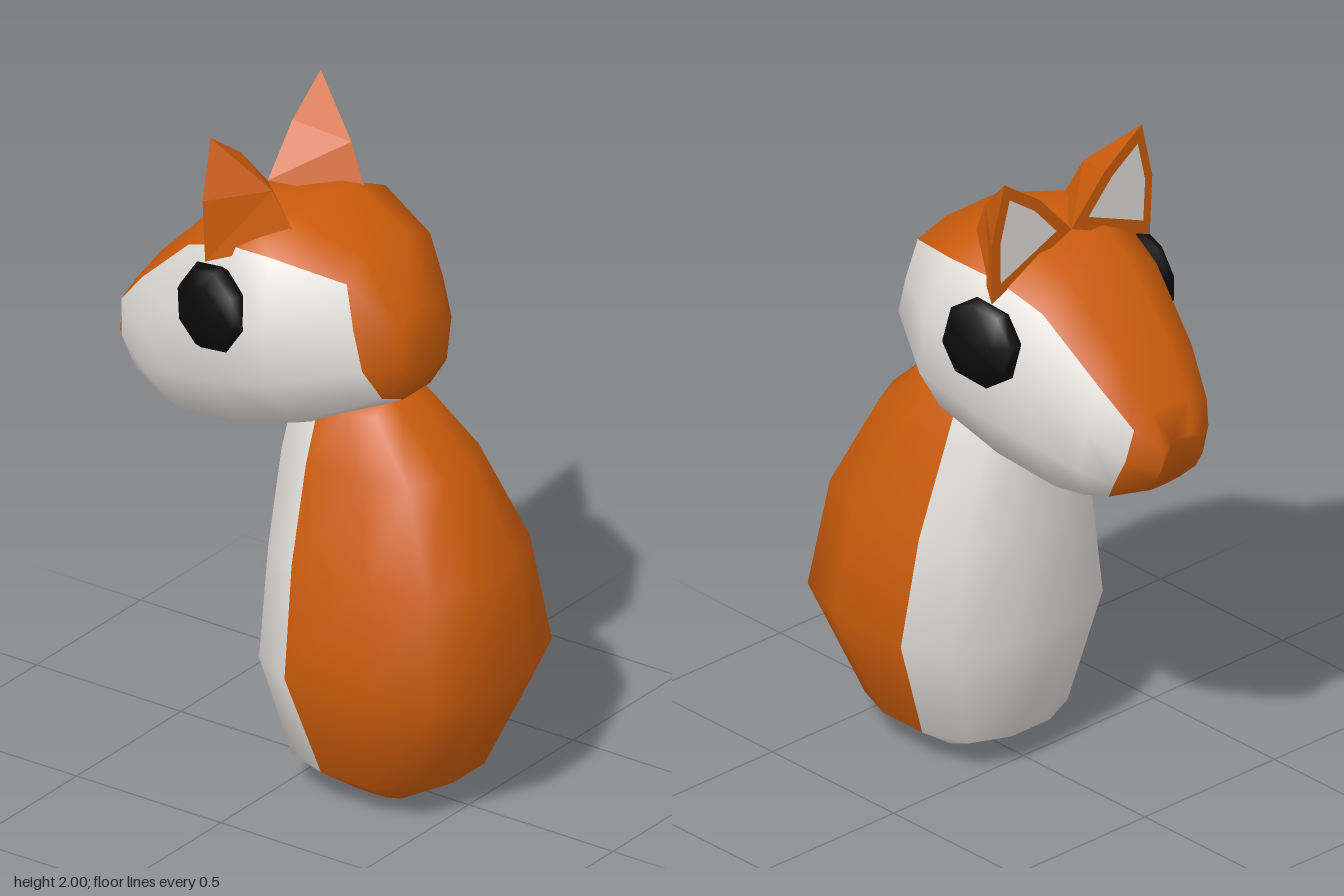
import * as THREE from 'three';

const mat = (name, color, side = THREE.FrontSide) => {
  const m = new THREE.MeshStandardMaterial({ color, side });
  m.name = name;
  return m;
};

// Smooth skin over 12-point rings; isWhite(i, j) picks the second material.
function loft(rings, isWhite) {
  const n = rings[0].length, faces = [[], []];
  for (let i = 0; i < rings.length - 1; i++) {
    for (let j = 0; j < n; j++) {
      const k = (j + 1) % n;
      const a = i * n + j, b = i * n + k, c = b + n, d = a + n;
      faces[isWhite(i, j) ? 1 : 0].push(a, b, c, a, c, d);
    }
  }
  const last = (rings.length - 1) * n;
  for (let j = 1; j < n - 1; j++) {
    faces[0].push(0, j + 1, j, last, last + j, last + j + 1);
  }
  const g = new THREE.BufferGeometry();
  g.setAttribute('position', new THREE.Float32BufferAttribute(rings.flat(2), 3));
  g.setIndex([...faces[0], ...faces[1]]);
  g.addGroup(0, faces[0].length, 0);
  g.addGroup(faces[0].length, faces[1].length, 1);
  g.computeVertexNormals();
  return g;
}

// Completes a half ring by mirroring it in x.
const mirrorRing = half => [...half, ...half.map(([x, y, z]) => [-x, y, z]).reverse()];

// Flat-shaded geometry from triangles of points.
function facets(tris) {
  const g = new THREE.BufferGeometry();
  g.setAttribute('position', new THREE.Float32BufferAttribute(tris.flat(2), 3));
  g.computeVertexNormals();
  return g;
}
const fan = p => p.slice(2).map((q, i) => [p[0], p[i + 1], q]);

export function createModel() {
  const model = new THREE.Group();
  model.name = 'fox';
  const orange = mat('orange fur', 0xcc5c0c);
  const white = mat('white fur', 0xe0dcd8);
  const black = mat('black eye', 0x0a0a0a);
  const add = (name, geometry, material, parent = model) => {
    const m = new THREE.Mesh(geometry, material);
    m.name = name;
    parent.add(m);
    return m;
  };

  // Body rows: height, half width, chest z, back z, z of the colour boundary
  const bodyRings = [
    [0.0, 0.10, 0.17, 0.34, 0.19],
    [0.1, 0.24, -0.03, 0.50, 0.16],
    [0.43, 0.36, -0.095, 0.655, 0.12],
    [0.76, 0.305, -0.09, 0.605, 0.105],
    [1.04, 0.215, -0.08, 0.465, 0.09],
    [1.2, 0.155, -0.05, 0.30, 0.09],
    [1.235, 0.10, 0.0, 0.25, 0.10],
  ].map(([y, w, front, back, split]) => {
    const c = (front + back) / 2, h = (back - front) / 2;
    return mirrorRing([
      [0.31 * w, y, back], [0.8 * w, y, c + 0.8 * h], [w, y, c + 0.32 * h],
      [w, y, split], [0.8 * w, y, c - 0.8 * h], [0.31 * w, y, front],
    ]);
  });
  add('body', loft(bodyRings, (i, j) => j >= 3 && j <= 7), [orange, white]);

  // Head sections: top z, top y, bottom z, bottom y, half width, stripe half width, forward bulge
  const headRings = [
    [0.33, 1.51, 0.345, 1.31, 0.11, 0.10, -0.01],
    [0.21, 1.68, 0.32, 1.25, 0.215, 0.20, 0],
    [0.0, 1.755, 0.08, 1.13, 0.35, 0.28, 0],
    [-0.17, 1.74, -0.14, 1.055, 0.325, 0.25, 0],
    [-0.31, 1.68, -0.35, 1.02, 0.285, 0.22, 0],
    [-0.5, 1.49, -0.41, 1.02, 0.22, 0.18, 0.03],
    [-0.605, 1.36, -0.45, 1.03, 0.16, 0.14, 0.05],
    [-0.65, 1.27, -0.56, 1.08, 0.08, 0.07, 0.04],
  ].map(([zt, yt, zb, yb, w, s, bulge]) => mirrorRing([
    [0.5 * s, 0], [s, 0.1], [w, 0.4], [w, 0.68], [0.72 * w, 0.92], [0.3 * w, 1],
  ].map(([x, t]) => [
    x, yt + (yb - yt) * t, zt + (zb - zt) * t - bulge * Math.sin(Math.PI * t),
  ])));
  const headWhite = (i, j) => i >= 1 && i <= 5 && j >= 1 && j <= 9;
  add('head', loft(headRings, headWhite), [orange, white]);

  // Ear outline on a flat facing plane, with a ridge behind it
  const outline = [[0.265, 2.0], [0.31, 1.82], [0.305, 1.63], [0.0, 1.76], [0.125, 1.9]];
  const onPlane = (x, y, lift = 0) => [x, y, -0.15 - 0.0275 * y - lift];
  const [T, O1, O2, I1, I2] = outline.map(([x, y]) => onPlane(x, y));
  const R1 = [0.19, 1.85, -0.045], R2 = [0.165, 1.70, 0.03];
  const earGeometry = facets([
    ...fan([T, O1, O2, I1, I2]),
    [O1, T, R1], [O2, O1, R1], [I1, O2, R2], [I2, I1, R1],
    [T, I2, R1], [O2, R1, R2], [I1, R2, R1],
  ]);
  const innerGeometry = facets(fan(outline.map(([x, y]) =>
    onPlane(0.205 + (x - 0.205) * 0.7, 1.82 + (y - 1.82) * 0.7, 0.004))));

  // Faceted, flattened eye
  const eyeGeometry = new THREE.SphereGeometry(1, 8, 6);
  eyeGeometry.rotateY(0.2);
  eyeGeometry.scale(0.135, 0.055, 0.135);
  eyeGeometry.rotateZ(-Math.PI / 2);

  for (const [side, label] of [[1, 'left'], [-1, 'right']]) {
    const half = new THREE.Group();
    half.name = label + 'EarAndEye';
    half.scale.x = side;
    add(label + 'Ear', earGeometry, orange, half);
    add(label + 'InnerEar', innerGeometry, white, half);
    const eye = add(label + 'Eye', eyeGeometry, black, half);
    eye.position.set(0.315, 1.5, -0.165);
    eye.rotation.set(0, 0.2, 0.12);
    model.add(half);
  }
  return model;
}
